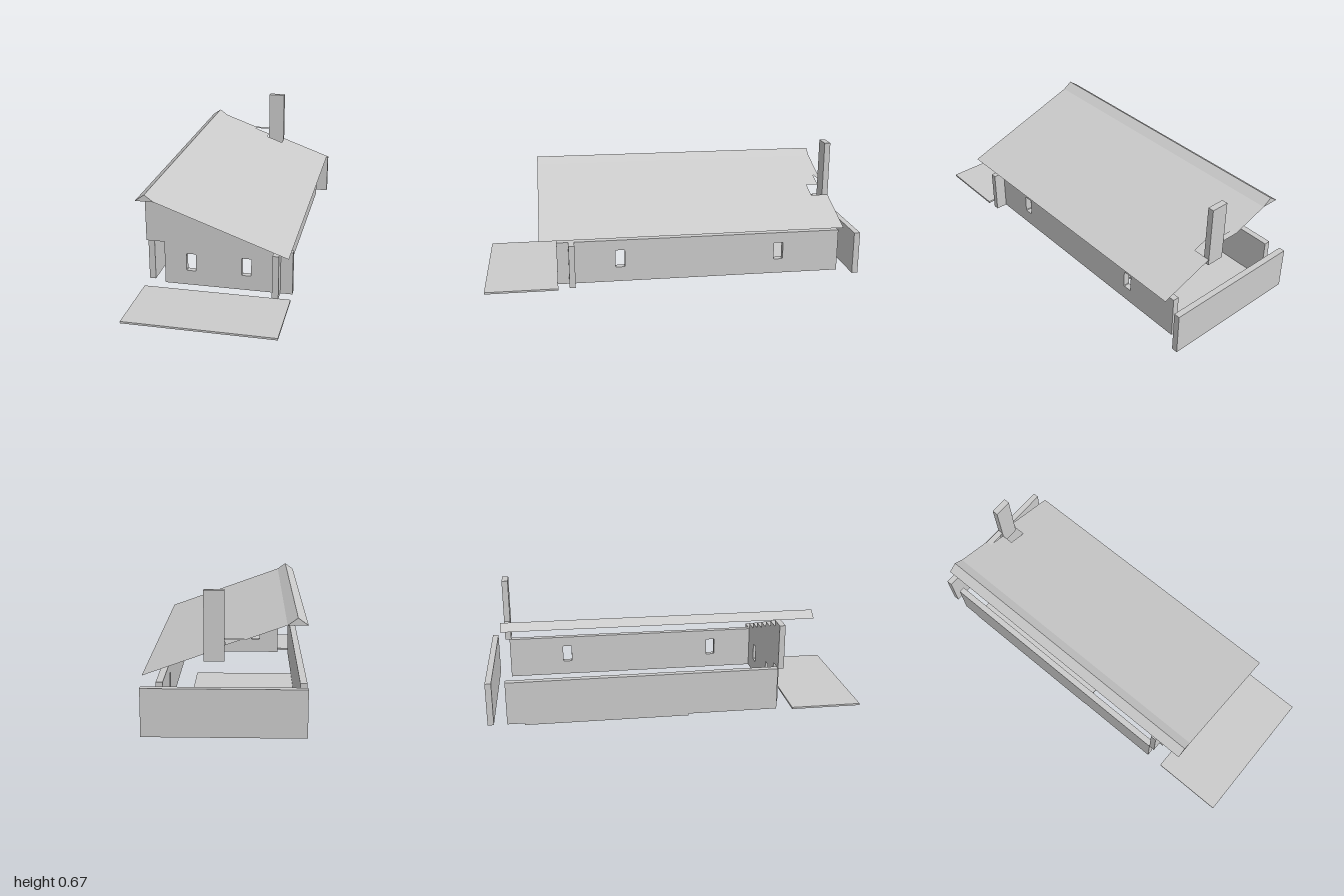
import * as THREE from 'three';

const U = 0.095;        // module width shared by wall steps and roof tiles
const BASE = 0.01;      // floor slab height
const WALL_TOP = 0.24;
const RISE = 0.0343;    // height change per module
const W = 4 * U;        // half width of the house
const ROOF_FRONT = 0.71, ROOF_BACK = -0.905;

const grey = new THREE.MeshStandardMaterial({ color: 0xcccccc, flatShading: true });
const thin = new THREE.MeshStandardMaterial({ color: 0xcccccc, flatShading: true, side: THREE.DoubleSide });

export function createModel() {
  const model = new THREE.Group();
  model.name = 'house';

  const add = (name, geometry, material = grey, parent = model) => {
    const mesh = new THREE.Mesh(geometry, material);
    mesh.name = name;
    parent.add(mesh);
    return mesh;
  };

  // Box given by its minimum and maximum corners
  const box = (name, x0, x1, y0, y1, z0, z1) => {
    const g = new THREE.BoxGeometry(x1 - x0, y1 - y0, z1 - z0);
    g.translate((x0 + x1) / 2, (y0 + y1) / 2, (z0 + z1) / 2);
    return add(name, g);
  };

  // Window opening with slightly clipped corners
  const windowHole = (u) => {
    const a = 0.025, y0 = 0.09, y1 = 0.184, c = 0.003;
    return new THREE.Path([
      [u - a + c, y0], [u - a, y0 + c], [u - a, y1 - c], [u - a + c, y1],
      [u + a - c, y1], [u + a, y1 - c], [u + a, y0 + c], [u + a - c, y0],
    ].map(([x, y]) => new THREE.Vector2(x, y)));
  };

  const wall = (points, windows, depth) => {
    const shape = new THREE.Shape(points.map(([x, y]) => new THREE.Vector2(x, y)));
    windows.forEach((u) => shape.holes.push(windowHole(u)));
    return new THREE.ExtrudeGeometry(shape, { depth, bevelEnabled: false });
  };

  // Floors
  box('porchFloor', -W, W, 0, BASE, 0.62, 1);
  box('roomFloor', -W, 2 * U, 0, BASE, -0.81, 0.05);

  // Plain walls
  box('leftWall', -W, -W + 0.033, BASE, WALL_TOP, -0.9, 0.53);
  box('backWall', -W, W, BASE, WALL_TOP, -1, -0.968);

  // Front wall: stepped top, doorway at its right end, two windows
  const outline = [[W, BASE], [W, WALL_TOP]];
  for (let i = 1; i < 8; i++) {
    const x = W - i * U;
    outline.push([x, WALL_TOP + (i - 1) * RISE], [x, WALL_TOP + i * RISE]);
  }
  outline.push([-W, WALL_TOP + 7 * RISE], [-W, WALL_TOP], [-3 * U, WALL_TOP], [-3 * U, BASE]);
  add('frontWall', wall(outline, [-0.145, 0.143], 0.031)).position.z = 0.53;

  // Left-side long wall with two windows, standing in from the eaves
  const side = wall([[-0.9, BASE], [0.622, BASE], [0.622, WALL_TOP], [-0.9, WALL_TOP]], [0.29, -0.568], 0.033);
  side.rotateY(-Math.PI / 2);
  add('windowWall', side).position.x = 0.318;

  // Chimney
  box('chimney', 0, U, 0.342, 0.672, -0.905, -0.873);

  // Roof: thin sheets running front to back
  const roof = new THREE.Group();
  roof.name = 'roof';
  model.add(roof);
  const sheet = (name, x0, y0, x1, y1, front, back) => {
    const g = new THREE.BufferGeometry();
    g.setAttribute('position', new THREE.Float32BufferAttribute(
      [x0, y0, front, x1, y1, front, x1, y1, back, x0, y0, back], 3));
    g.setIndex([0, 1, 2, 0, 2, 3]);
    g.computeVertexNormals();
    add(name, g, thin, roof);
  };
  const ridgeX = -3.5 * U, ridgeY = 0.547, eaveY = 0.513;
  const slopeY = (x) => eaveY - (x + 3 * U) / U * RISE;
  sheet('ridgeOuterSlope', -W, eaveY, ridgeX, ridgeY, ROOF_FRONT, ROOF_BACK);
  sheet('ridgeInnerSlope', ridgeX, ridgeY, -3 * U, eaveY, ROOF_FRONT, ROOF_BACK);

  // Main slope in strips, cut back around the chimney
  [[-3, -1, ROOF_BACK], [-1, 0, -0.875], [0, 1, -0.81], [1, 4, ROOF_BACK]].forEach(([a, b, back]) =>
    sheet('mainSlope', a * U, slopeY(a * U), b * U, slopeY(b * U), ROOF_FRONT, back));

  // Small flat flashing beside the chimney
  sheet('chimneyFlashing', -U, slopeY(-U), 0, slopeY(-U), -0.873, ROOF_BACK);

  // Triangular plates inside the ridge, one per tile joint
  const triangle = new THREE.ShapeGeometry(new THREE.Shape([
    new THREE.Vector2(-W, eaveY), new THREE.Vector2(-3 * U, eaveY), new THREE.Vector2(ridgeX, ridgeY),
  ]));
  for (let i = 0; i <= 17; i++) {
    add('ridgePlate', triangle, thin, roof).position.z = ROOF_FRONT + (ROOF_BACK - ROOF_FRONT) * i / 17;
  }

  return model;
}
